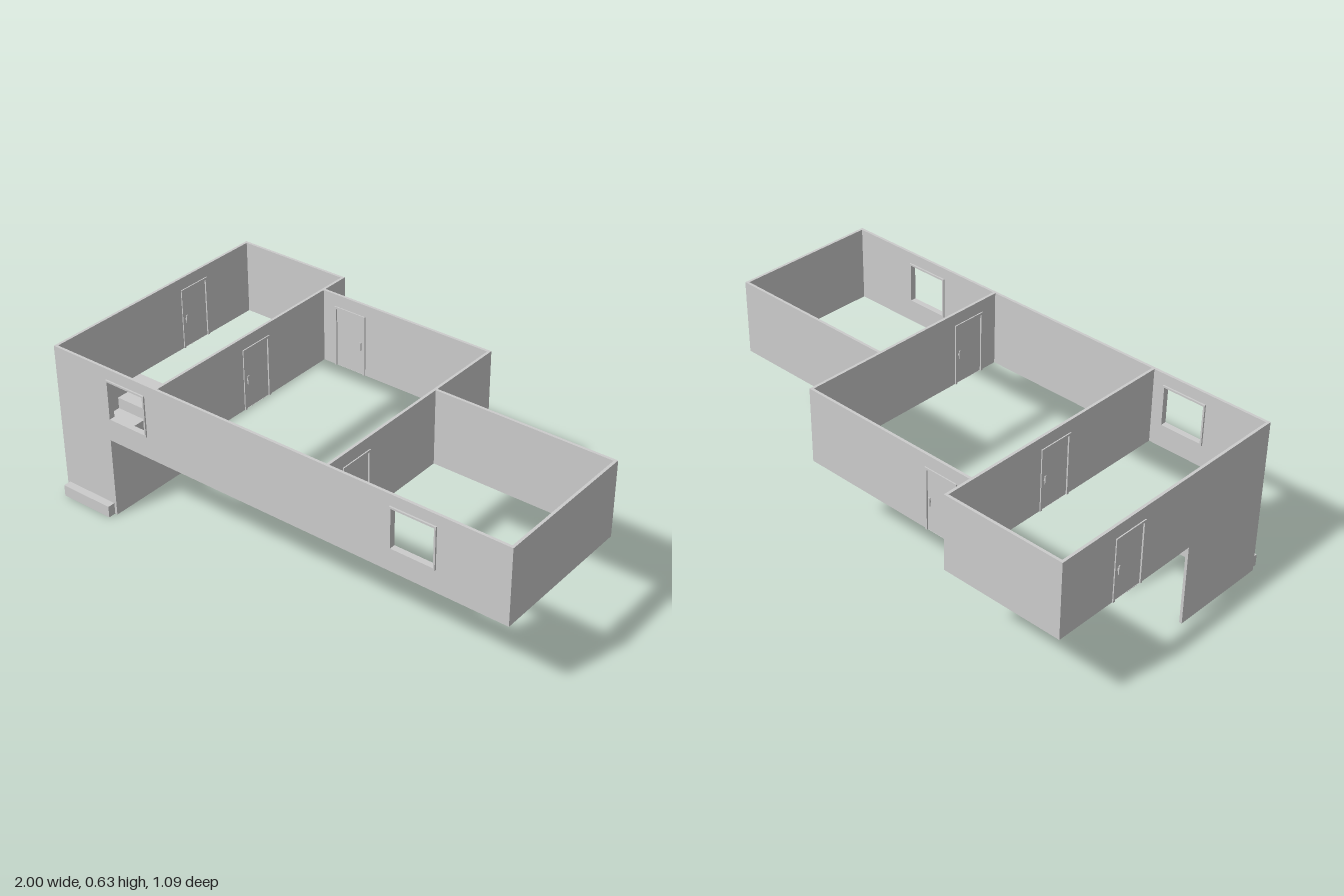
import * as THREE from 'three';

const MAT = new THREE.MeshStandardMaterial({ color: 0xcccccc, flatShading: true });
const T = 0.011;              // wall thickness
const Y0 = 0.33, Y1 = 0.635;  // upper storey floor and wall top

function box(parent, name, w, h, d, x, y, z) {
  const m = new THREE.Mesh(new THREE.BoxGeometry(w, h, d), MAT);
  m.name = name;
  m.position.set(x, y, z);
  parent.add(m);
  return m;
}

function rectPath(u0, u1, v0, v1) {
  return [[u0, v0], [u1, v0], [u1, v1], [u0, v1]].map(p => new THREE.Vector2(...p));
}

// Upright slab centred on its plane; u runs along x, or along z when alongZ is set
function wall(parent, name, outline, holes, offset, alongZ) {
  const shape = new THREE.Shape(outline);
  for (const h of holes) shape.holes.push(new THREE.Path(rectPath(...h)));
  const geo = new THREE.ExtrudeGeometry(shape, { depth: T, bevelEnabled: false });
  geo.translate(0, 0, -T / 2);
  const m = new THREE.Mesh(geo, MAT);
  m.name = name;
  if (alongZ) {
    m.rotation.y = -Math.PI / 2;
    m.position.x = offset;
  } else m.position.z = offset;
  parent.add(m);
}

// Rectangular frame in the local xy plane, centred on x = 0
function frame(parent, name, w, h, depth, bar, sill) {
  for (const s of [-1, 1]) box(parent, name + 'Jamb', bar, h, depth, s * (w - bar) / 2, h / 2, 0);
  box(parent, name + 'Head', w - 2 * bar, bar, depth, 0, h - bar / 2, 0);
  if (sill) box(parent, name + 'Sill', w - 2 * bar, bar, depth, 0, bar / 2, 0);
}

const DOOR_W = 0.146, DOOR_H = 0.255, WIN_W = 0.185, WIN_H = 0.17, WIN_Y = 0.42;

// Framed door leaf with a handle on each face
function door(parent, name, x, z, turn, handleSides) {
  const g = new THREE.Group();
  g.name = name;
  frame(g, 'doorFrame', DOOR_W, DOOR_H, 0.02, 0.009, false);
  box(g, 'doorLeaf', DOOR_W - 0.018, DOOR_H - 0.009, 0.008, 0, (DOOR_H - 0.009) / 2, 0);
  [1, -1].forEach((face, i) => {
    const hx = handleSides[i] * 0.052;
    box(g, 'doorHandle', 0.007, 0.034, 0.004, hx, 0.122, face * 0.01);
    box(g, 'handleStem', 0.005, 0.008, 0.006, hx, 0.122, face * 0.006);
  });
  g.position.set(x, Y0, z);
  g.rotation.y = turn;
  parent.add(g);
}

function windowFrame(parent, name, x, z) {
  const g = new THREE.Group();
  g.name = name;
  frame(g, 'windowFrame', WIN_W, WIN_H, 0.024, 0.007, true);
  g.position.set(x, WIN_Y, z);
  parent.add(g);
}

export function createModel() {
  const root = new THREE.Group();
  root.name = 'floorPlanHouse';
  const V = (...pts) => pts.map(p => new THREE.Vector2(...p));
  const h = T / 2;

  // Wall centre lines
  const XL = -0.988, XA = -0.498, XB = 0.266, XR = 0.992;
  const ZF = 0.506, ZL = -0.54, ZM = -0.422, ZR = -0.093;
  const stairX = -0.745, stairBack = 0.105;

  const doorHole = c => [c - DOOR_W / 2, c + DOOR_W / 2, Y0 + 0.0001, Y0 + DOOR_H];
  const winHole = c => [c - WIN_W / 2 + 0.002, c + WIN_W / 2 - 0.002, WIN_Y + 0.002, WIN_Y + WIN_H - 0.002];
  const winXs = [-0.642, 0.62];
  const doorL = -0.218, doorA = -0.018, doorB = 0.357, doorM = -0.365;

  // Front wall, reaching the ground in front of the stairs
  wall(root, 'frontWall',
    V([XL - h, 0], [stairX + h, 0], [stairX + h, Y0], [XR + h, Y0], [XR + h, Y1], [XL - h, Y1]),
    winXs.map(winHole), ZF, false);

  // Outer side wall, reaching the ground beside the stairs
  wall(root, 'stairSideWall',
    V([ZL - h, Y0], [stairBack, Y0], [stairBack, 0], [ZF - h, 0], [ZF - h, Y1], [ZL - h, Y1]),
    [doorHole(doorL)], XL, true);

  // Inner walls and far side wall
  wall(root, 'innerWall', rectPath(ZL - h, ZF - h, Y0, Y1), [doorHole(doorA)], XA, true);
  wall(root, 'innerWall', rectPath(ZM - h, ZF - h, Y0, Y1), [doorHole(doorB)], XB, true);
  wall(root, 'sideWall', rectPath(ZR - h, ZF - h, Y0, Y1), [], XR, true);

  // Stepped back walls of the three rooms
  wall(root, 'backWall', rectPath(XL + h, XA - h, Y0, Y1), [], ZL, false);
  wall(root, 'backWall', rectPath(XA + h, XB - h, Y0, Y1), [doorHole(doorM)], ZM, false);
  wall(root, 'backWall', rectPath(XB + h, XR - h, Y0, Y1), [], ZR, false);

  // Stairwell inner wall
  wall(root, 'stairwellWall', rectPath(stairBack, ZF - h, 0, Y0), [], stairX, true);

  // Stairs: the lowest step pokes out through the front wall
  const steps = 7, rise = Y0 / steps, zFront = 0.543, run = (zFront - stairBack) / steps;
  const x0 = XL + h, x1 = stairX - h;
  for (let i = 0; i < steps; i++) {
    box(root, 'stairStep', x1 - x0, rise, run, (x0 + x1) / 2, (i + 0.5) * rise, zFront - (i + 0.5) * run);
  }

  // Doors and windows
  const q = Math.PI / 2;
  door(root, 'outerDoor', XL, doorL, q, [-1, 1]);
  door(root, 'innerDoor', XA, doorA, q, [-1, 1]);
  door(root, 'innerDoor', XB, doorB, q, [-1, 1]);
  door(root, 'backDoor', doorM, ZM, 0, [1, 1]);
  for (const x of winXs) windowFrame(root, 'window', x, ZF);

  return root;
}
